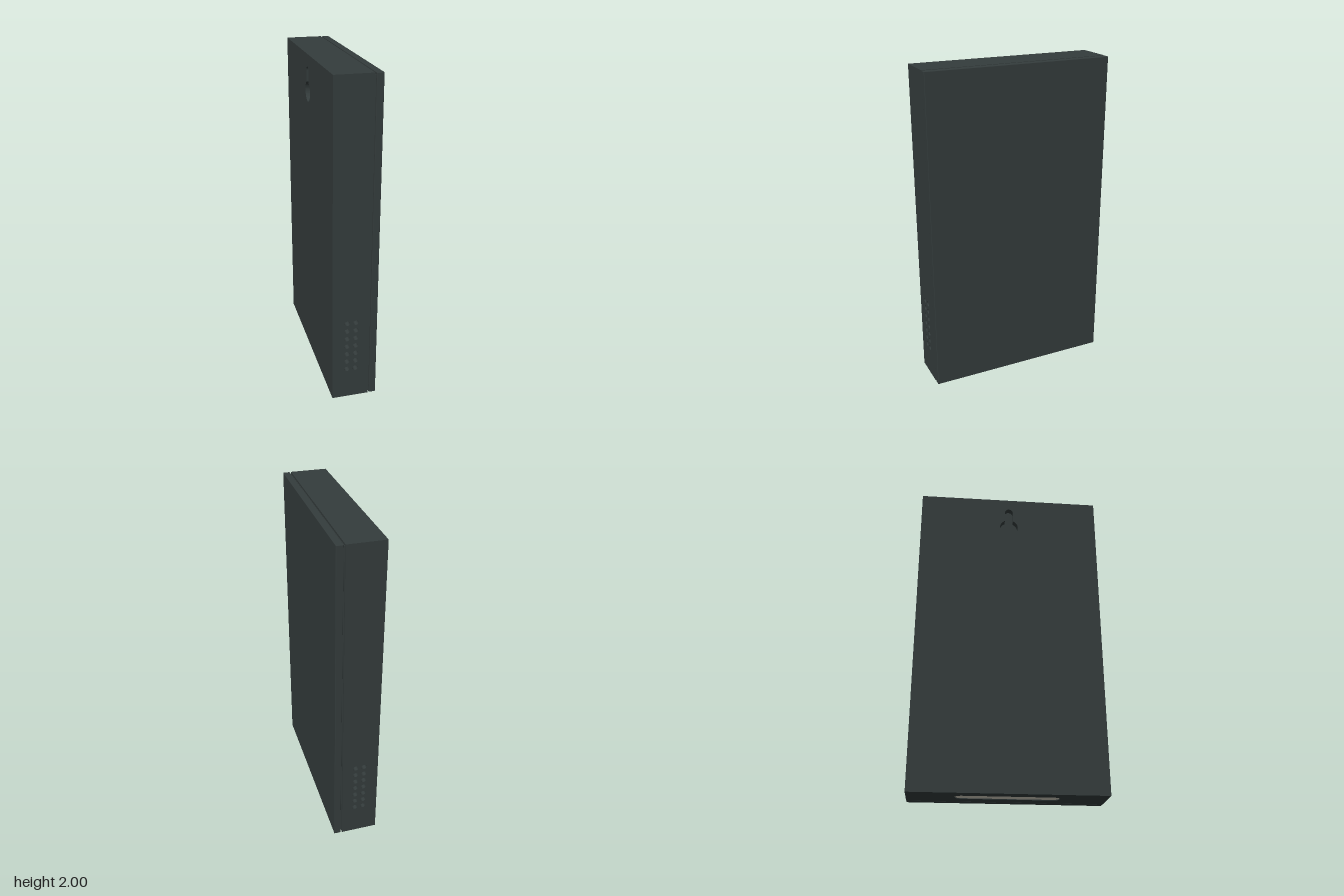
import * as THREE from 'three';
import { RoundedBoxGeometry } from 'three/addons/geometries/RoundedBoxGeometry.js';

const H = 2, D = 0.582, W = 0.1375;   // height, half depth, half width
const T = 0.04;                       // casing wall thickness
const GROOVE = [0.087, 0.096];        // gap between casing and face plate

function rect(w, h) {
  return new THREE.Shape([
    new THREE.Vector2(-w / 2, -h / 2), new THREE.Vector2(w / 2, -h / 2),
    new THREE.Vector2(w / 2, h / 2), new THREE.Vector2(-w / 2, h / 2),
  ]);
}

function circle(x, y, r) {
  const p = new THREE.Path();
  p.absarc(x, y, r, 0, Math.PI * 2, false);
  return p;
}

// Stadium outline running along local y
function stadium(x, r, half, Type) {
  const p = new Type();
  p.absarc(x, half, r, 0, Math.PI, false);
  p.absarc(x, -half, r, Math.PI, Math.PI * 2, false);
  p.closePath();
  return p;
}

// Hanging hole: large round opening with a narrow slot above
function keyhole(y, R, slotY, r) {
  const a = Math.asin(r / R), p = new THREE.Path();
  p.absarc(0, y, R, Math.PI / 2 + a, Math.PI * 2.5 - a, false);
  p.absarc(0, slotY, r, 0, Math.PI, false);
  p.closePath();
  return p;
}

export function createModel() {
  const model = new THREE.Group();
  const dark = new THREE.MeshStandardMaterial({ color: 0x343c3c });
  const pale = new THREE.MeshStandardMaterial({ color: 0xd2cec0 });

  function add(name, geometry, material, pos, rot = [0, 0, 0]) {
    const m = new THREE.Mesh(geometry, material);
    m.name = name;
    m.position.set(...pos);
    m.rotation.set(...rot);
    model.add(m);
  }

  // Flat wall whose outer face is local z = 0
  function wall(name, w, h, holes, pos, rot) {
    const s = rect(w, h);
    s.holes.push(...holes);
    const g = new THREE.ExtrudeGeometry(s, { depth: T, bevelEnabled: false, curveSegments: 16 });
    g.translate(0, 0, -T);
    add(name, g, dark, pos, rot);
  }

  const x0 = -W + T, x1 = GROOVE[0], cx = (x0 + x1) / 2, w = x1 - x0;
  const innerD = 2 * (D - T);

  // Mounting wall with the hanging hole
  wall('mountingWall', 2 * D, H, [keyhole(0.78, 0.06, 0.9, 0.027)],
    [-W, H / 2, 0], [0, -Math.PI / 2, 0]);

  // End walls with two columns of vent holes
  for (const side of [1, -1]) {
    const vents = [];
    for (let row = 0; row < 7; row++) {
      for (const x of [-0.048, 0.005]) {
        vents.push(circle(side * (x - cx), 0.2 + row * 0.0535 - H / 2, 0.016));
      }
    }
    wall(side > 0 ? 'frontVentWall' : 'backVentWall', w, H, vents,
      [cx, H / 2, side * D], [0, side > 0 ? 0 : Math.PI, 0]);
  }

  // Top and bottom walls, the bottom one cut for the light strip
  wall('topWall', w, innerD, [], [cx, H, 0], [-Math.PI / 2, 0, 0]);
  const slotX = -0.026;
  wall('bottomWall', w, innerD, [stadium(slotX - cx, 0.04, 0.264, THREE.Path)],
    [cx, 0, 0], [Math.PI / 2, 0, 0]);
  const strip = new THREE.ExtrudeGeometry(stadium(slotX, 0.04, 0.264, THREE.Shape),
    { depth: T - 0.004, bevelEnabled: false, curveSegments: 16 });
  strip.translate(0, 0, -T);
  add('lightStrip', strip, pale, [0, 0, 0], [Math.PI / 2, 0, 0]);

  // Inner core closes the holes from behind
  add('core', new THREE.BoxGeometry(w, H - 2 * T, innerD), dark, [cx, H / 2, 0]);

  // Recessed spine in the groove, then the face plate
  const gw = GROOVE[1] - GROOVE[0];
  add('grooveSpine', new THREE.BoxGeometry(gw, H - 0.024, 2 * D - 0.024), dark,
    [GROOVE[0] + gw / 2, H / 2, 0]);
  add('facePlate', new RoundedBoxGeometry(W - GROOVE[1], H, 2 * D, 2, 0.003), dark,
    [(W + GROOVE[1]) / 2, H / 2, 0]);

  return model;
}
